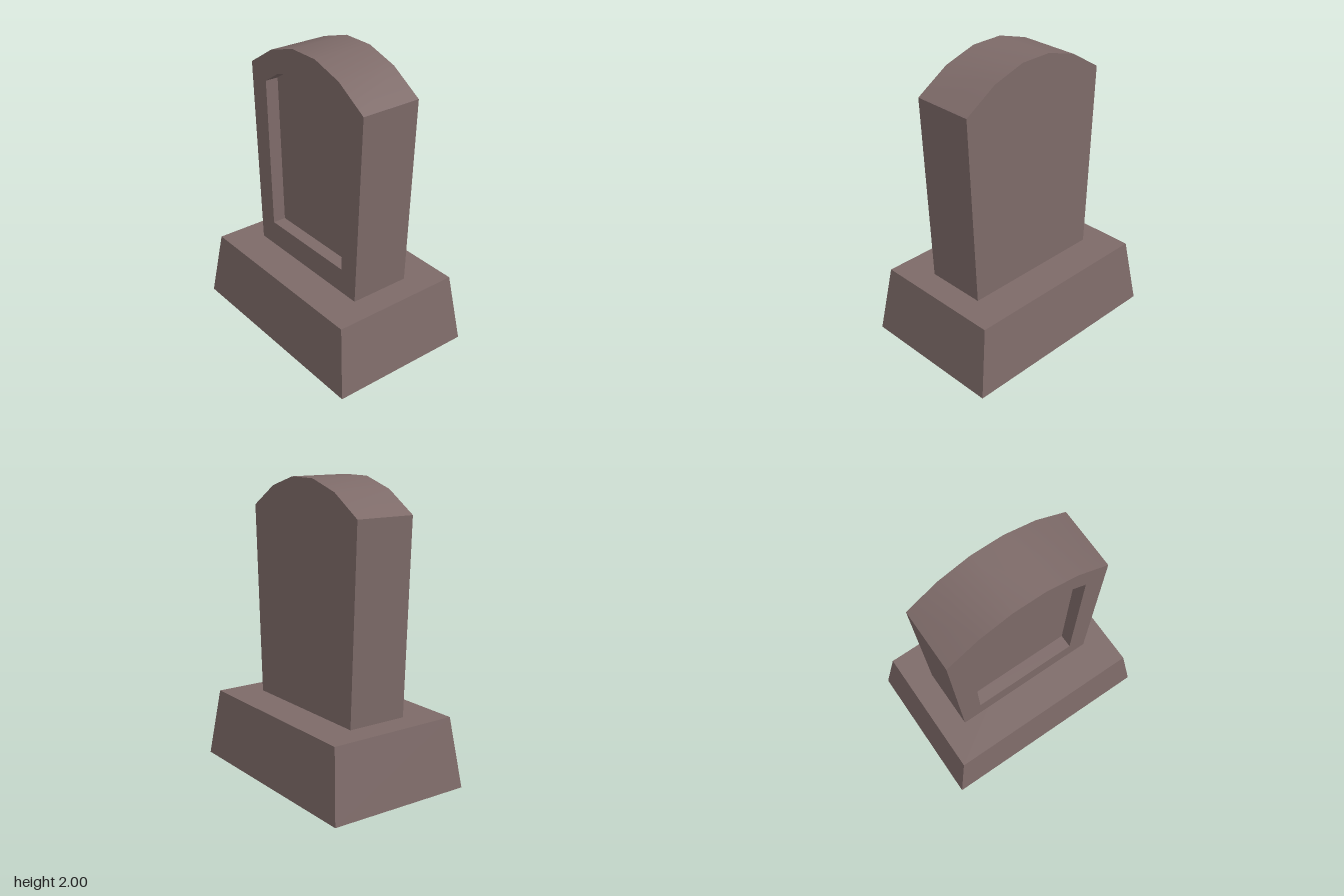
import * as THREE from 'three';
import { toCreasedNormals } from 'three/addons/utils/BufferGeometryUtils.js';

const FRONT = 0.213, BACK = -0.213, RECESS = 0.12;

// Symmetric outline, counter-clockwise, from its right-hand half (bottom to top)
function outline(half) {
  const mirrored = half.map(([x, y]) => [-x, y]).reverse();
  return [...half, ...mirrored].map(([x, y]) => new THREE.Vector2(x, y));
}

// Strip of quads around a closed outline between two depths
function wall(points, zFront, zBack, inward) {
  const pos = [];
  points.forEach((a, i) => {
    const b = points[(i + 1) % points.length];
    const [p, q] = inward ? [b, a] : [a, b];
    pos.push(p.x, p.y, zFront, p.x, p.y, zBack, q.x, q.y, zBack);
    pos.push(p.x, p.y, zFront, q.x, q.y, zBack, q.x, q.y, zFront);
  });
  const geo = new THREE.BufferGeometry();
  geo.setAttribute('position', new THREE.Float32BufferAttribute(pos, 3));
  return toCreasedNormals(geo, 0.5);
}

export function createModel() {
  const stone = new THREE.MeshStandardMaterial({ color: 0x7d6a68 });
  stone.name = 'brownGreyStone';
  const model = new THREE.Group();
  model.name = 'gravestone';

  const add = (name, geometry, parent, z = 0) => {
    const mesh = new THREE.Mesh(geometry, stone);
    mesh.name = name;
    mesh.position.z = z;
    parent.add(mesh);
    return mesh;
  };

  // Plinth: a box narrowing towards the top
  const plinth = new THREE.BoxGeometry(1.534, 0.475, 1.026);
  plinth.translate(0, 0.2375, 0);
  const p = plinth.attributes.position;
  for (let i = 0; i < p.count; i++) {
    if (p.getY(i) > 0.2) {
      p.setX(i, Math.sign(p.getX(i)) * 0.69);
      p.setZ(i, Math.sign(p.getZ(i)) * 0.462);
    }
  }
  plinth.computeVertexNormals();
  add('plinth', plinth, model);

  // Headstone: flared slab with an arched top and a sunken front panel
  const headstone = new THREE.Group();
  headstone.name = 'headstone';
  model.add(headstone);

  const outer = outline([[0.515, 0.475], [0.571, 1.787], [0.343, 1.93], [0.114, 2]]);
  const inner = outline([[0.378, 0.65], [0.416, 1.698], [0.282, 1.785], [0.097, 1.843]]);

  const frame = new THREE.Shape(outer);
  frame.holes.push(new THREE.Path(inner));
  add('frontFrame', new THREE.ShapeGeometry(frame), headstone, FRONT);
  add('sunkenPanel', new THREE.ShapeGeometry(new THREE.Shape(inner)), headstone, RECESS);
  add('backFace', new THREE.ShapeGeometry(new THREE.Shape(outer)), headstone, BACK).rotation.y = Math.PI;
  add('outerSides', wall(outer, FRONT, BACK, false), headstone);
  add('recessSides', wall(inner, FRONT, RECESS, true), headstone);

  return model;
}
